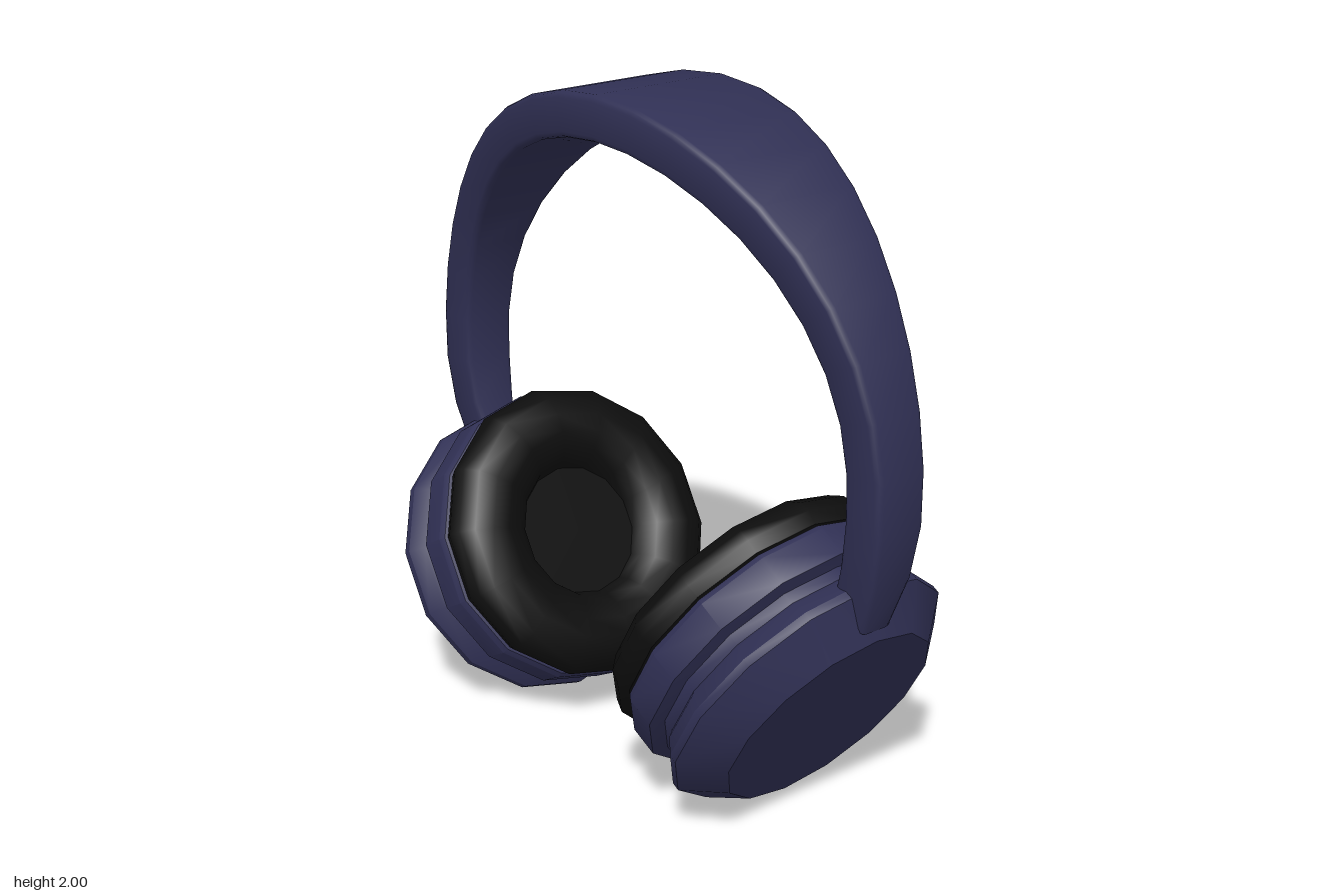
import * as THREE from 'three';
import { toCreasedNormals } from 'three/addons/utils/BufferGeometryUtils.js';

const navy = new THREE.MeshStandardMaterial({ color: 0x303054 });
const black = new THREE.MeshStandardMaterial({ color: 0x0d0d0d });
const SIDES = 14;

function named(name, geometry, material) {
  const mesh = new THREE.Mesh(geometry, material);
  mesh.name = name;
  return mesh;
}

// Turned part from [radius, height] pairs, hard ridges but smooth around
function turned(points, crease) {
  const profile = points.map(([r, s]) => new THREE.Vector2(r, s));
  return toCreasedNormals(new THREE.LatheGeometry(profile, SIDES), crease);
}

// Arched band: rounded-rectangle section swept over an ellipse, wide on top
function bandGeometry() {
  const steps = 24, end = THREE.MathUtils.degToRad(113);
  const rx = 0.91, ry = 0.885, cy = 1.05, half = 0.065;
  const corners = [[1, 1], [-1, 1], [-1, -1], [1, -1]];
  const positions = [], index = [];
  const count = 12;

  for (let i = 0; i <= steps; i++) {
    const phi = -end + (2 * end * i) / steps, a = Math.abs(phi);
    const taper = Math.max(0, (a - Math.PI / 2) / (end - Math.PI / 2));
    const width = 0.085 + 0.155 * Math.pow(Math.max(0, Math.cos(phi)), 2.4) - 0.03 * taper * taper;
    const normal = new THREE.Vector2(Math.sin(phi) / rx, Math.cos(phi) / ry).normalize();
    const bevel = 0.018;
    corners.forEach(([n, w], c) => {
      // three points round each corner, counter-clockwise
      const cut = [[0, bevel], [bevel * 0.3, bevel * 0.3], [bevel, 0]];
      if (c % 2) cut.reverse();
      for (const [dn, dw] of cut) {
        const out = n * (half - dn), z = w * (width - dw);
        positions.push(rx * Math.sin(phi) + normal.x * out, cy + ry * Math.cos(phi) + normal.y * out, z);
      }
    });
  }
  for (let i = 0; i < steps; i++) {
    for (let j = 0; j < count; j++) {
      const k = (j + 1) % count;
      const a = i * count + j, b = i * count + k;
      index.push(a, b, b + count, a, b + count, a + count);
    }
  }
  // end caps
  const last = steps * count;
  for (let j = 1; j < count - 1; j++) {
    index.push(0, j + 1, j, last, last + j, last + j + 1);
  }
  const geometry = new THREE.BufferGeometry();
  geometry.setAttribute('position', new THREE.Float32BufferAttribute(positions, 3));
  geometry.setIndex(index);
  return toCreasedNormals(geometry, 0.85);
}

// Ear cup: local y points outward along the tilted axis
function earCup(side, name) {
  const cup = new THREE.Group();
  cup.name = name;

  cup.add(named('housing', turned([
    [0, 0.09], [0.41, 0.09], [0.41, 0.112], [0.445, 0.122], [0.455, 0.14],
    [0.452, 0.23], [0.408, 0.24], [0.408, 0.275], [0.425, 0.288],
    [0.455, 0.335], [0.455, 0.36], [0.345, 0.457], [0, 0.457],
  ], 0.55), navy));

  cup.add(named('earCushion', turned([
    [0, 0.07], [0.2, 0.07], [0.215, 0.035], [0.25, 0.002], [0.3, -0.019],
    [0.355, -0.02], [0.41, -0.002], [0.445, 0.035], [0.455, 0.075], [0.44, 0.112], [0.4, 0.122],
  ], 0.9), black));

  // axis dips 30 degrees; the other axis runs up the face of the cup
  const c = Math.cos(Math.PI / 6), s = 0.5;
  const axis = new THREE.Vector3(side * c, -s, 0);
  const up = new THREE.Vector3(side * s, c, 0);
  const basis = new THREE.Matrix4().makeBasis(new THREE.Vector3().crossVectors(axis, up), axis, up);
  cup.quaternion.setFromRotationMatrix(basis);
  cup.position.copy(up).multiplyScalar(0.668);
  return cup;
}

export function createModel() {
  const model = new THREE.Group();
  model.name = 'headphones';
  model.add(named('headband', bandGeometry(), navy));
  model.add(earCup(1, 'leftEarCup'), earCup(-1, 'rightEarCup'));
  return model;
}
